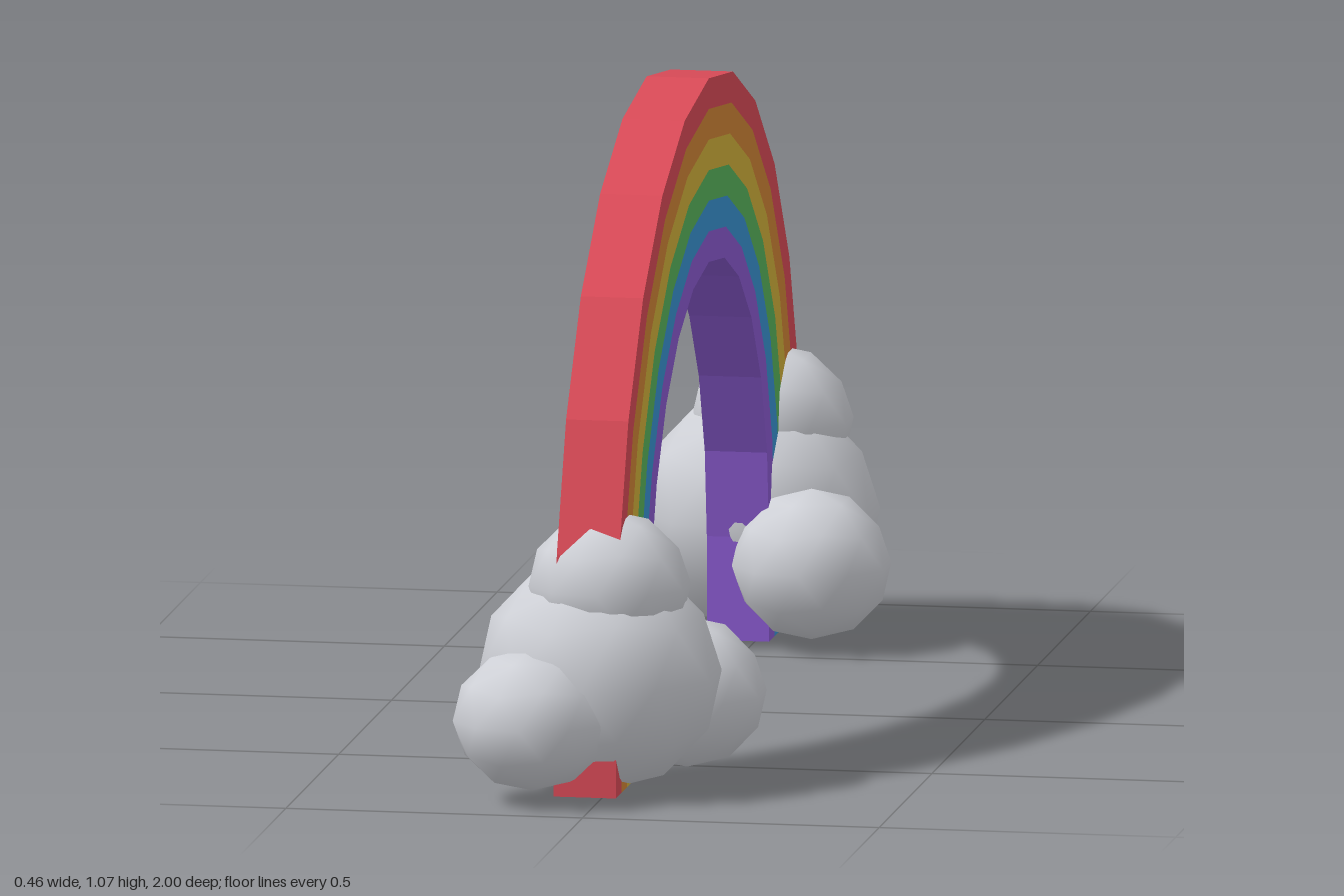
import * as THREE from 'three';

const mat = (name, color) => {
  const m = new THREE.MeshStandardMaterial({ color });
  m.name = name;
  return m;
};

const BANDS = [
  ['red', 0xd94a57], ['orange', 0xd08436], ['yellow', 0xd2b03a],
  ['green', 0x58b45c], ['blue', 0x3892d2], ['purple', 0x8a5ad0],
];
const OUTER = 0.88, INNER = 0.57;   // arch radii
const CENTRE_Y = 0.19, FOOT_Y = 0.015;
const X_MIN = -0.07, X_MAX = 0.035;
const STEPS = 12;

// Points of a half ring with short straight legs, from +z over to -z
function archPoints(r) {
  const pts = [new THREE.Vector2(r, FOOT_Y)];
  for (let i = 0; i <= STEPS; i++) {
    const a = (i / STEPS) * Math.PI;
    pts.push(new THREE.Vector2(r * Math.cos(a), CENTRE_Y + r * Math.sin(a)));
  }
  pts.push(new THREE.Vector2(-r, FOOT_Y));
  return pts;
}

function bandGeometry(rOut, rIn) {
  const shape = new THREE.Shape([...archPoints(rOut), ...archPoints(rIn).reverse()]);
  const geo = new THREE.ExtrudeGeometry(shape, { depth: X_MAX - X_MIN, bevelEnabled: false });
  geo.rotateY(-Math.PI / 2);        // shape x becomes z
  geo.translate(X_MAX, 0, 0);
  return geo;
}

// Cloud puffs: name, centre, radii (z is mirrored for the back cloud)
const PUFFS = [
  ['mainPuff', [-0.015, 0.203, 0.75], [0.205, 0.2, 0.187]],
  ['topPuff', [0.005, 0.355, 0.77], [0.137, 0.125, 0.122]],
  ['outerPuff', [-0.107, 0.143, 0.873], [0.134, 0.12, 0.127]],
  ['innerPuff', [0.103, 0.145, 0.59], [0.134, 0.127, 0.128]],
];

export function createModel() {
  const model = new THREE.Group();
  model.name = 'rainbowWithClouds';

  // Rainbow, one solid band per colour
  const rainbow = new THREE.Group();
  rainbow.name = 'rainbow';
  const width = (OUTER - INNER) / BANDS.length;
  BANDS.forEach(([name, color], i) => {
    const rOut = OUTER - i * width;
    const band = new THREE.Mesh(bandGeometry(rOut, rOut - width), mat(name, color));
    band.name = name + 'Band';
    rainbow.add(band);
  });
  model.add(rainbow);

  // Low-poly smooth ball with a vertex at its top
  const ball = new THREE.IcosahedronGeometry(1, 1);
  ball.rotateZ(Math.atan(2 / (1 + Math.sqrt(5))));
  const cloudMat = mat('cloudGrey', 0xcfd1d7);

  // A cloud at each foot
  for (const [cloudName, side] of [['frontCloud', 1], ['backCloud', -1]]) {
    const cloud = new THREE.Group();
    cloud.name = cloudName;
    for (const [name, [x, y, z], radii] of PUFFS) {
      const puff = new THREE.Mesh(ball, cloudMat);
      puff.name = name;
      puff.position.set(x, y, z * side);
      puff.scale.set(...radii);
      cloud.add(puff);
    }
    model.add(cloud);
  }
  return model;
}
